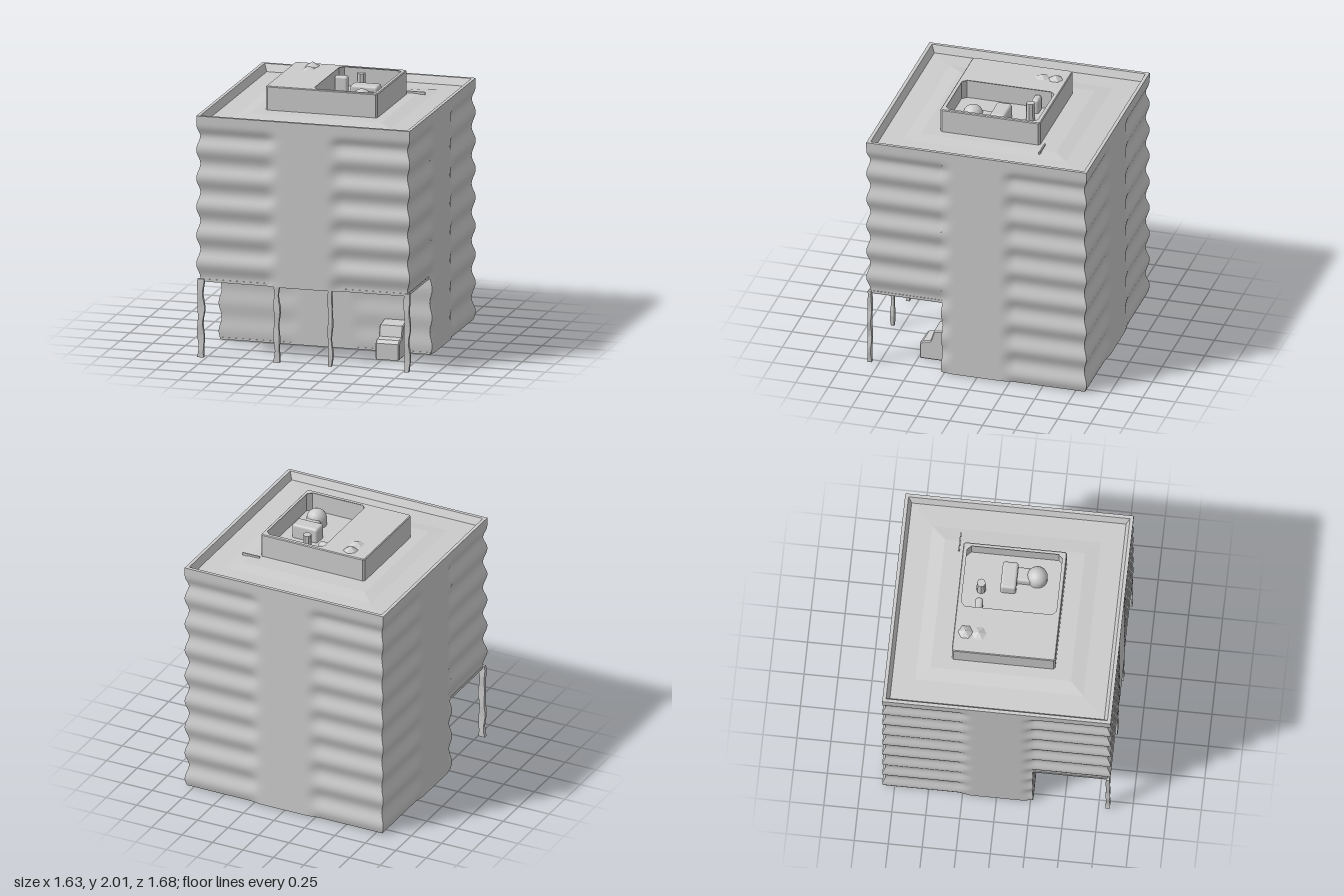
import * as THREE from 'three';
import { RoundedBoxGeometry } from 'three/addons/geometries/RoundedBoxGeometry.js';

const W = 0.815, D = 0.84, TOP = 1.82, SOFFIT = 0.57, NOTCH = 0.27;
const smooth = new THREE.MeshStandardMaterial({ color: 0xcccccc, side: THREE.DoubleSide });
const flat = new THREE.MeshStandardMaterial({ color: 0xcccccc, side: THREE.DoubleSide, flatShading: true });
const step = THREE.MathUtils.smoothstep;

// Floor-by-floor ripple; the middle bay of each side stays flat
const ripple = (y) => -0.012 * (1 - Math.cos((2 * Math.PI * (y - 1.35)) / 0.215)) * (1 - step(y, 1.66, 1.78));
const bay = (u) => step(Math.abs(u), 0.18, 0.3);

export function createModel() {
  const group = new THREE.Group();
  const add = (name, geo, mat = flat, x = 0, y = 0, z = 0) => {
    const m = new THREE.Mesh(geo, mat);
    m.name = name;
    m.position.set(x, y, z);
    group.add(m);
    return m;
  };
  // Box given by its limits
  const box = (name, x0, x1, y0, y1, z0, z1, r = 0) => {
    const s = [x1 - x0, y1 - y0, z1 - z0];
    const geo = r ? new RoundedBoxGeometry(...s, 3, r) : new THREE.BoxGeometry(...s);
    return add(name, geo, r ? smooth : flat, (x0 + x1) / 2, (y0 + y1) / 2, (z0 + z1) / 2);
  };
  // Rippled wall running from plan point a to plan point b
  const wall = (name, [ax, az], [bx, bz], y0, y1) => {
    const geo = new THREE.PlaneGeometry(1, 1, 48, 90), p = geo.attributes.position;
    for (let i = 0; i < p.count; i++) {
      const u = p.getX(i) + 0.5, y = y0 + (y1 - y0) * (p.getY(i) + 0.5);
      const x = ax + (bx - ax) * u, z = az + (bz - az) * u, w = ripple(y);
      p.setXYZ(i, x * (1 + (w * bay(z)) / W), y, z * (1 + (w * bay(x)) / D));
    }
    geo.computeVertexNormals();
    add(name, geo, smooth);
  };

  // Outer walls, with the front of the ground floor cut away
  wall('frontWall', [-W, D], [W, D], SOFFIT, TOP);
  wall('backWall', [W, -D], [-W, -D], 0, TOP);
  wall('leftWallFront', [W, D], [W, NOTCH], SOFFIT, TOP);
  wall('leftWallRear', [W, NOTCH], [W, -D], 0, TOP);
  wall('rightWallRear', [-W, -D], [-W, NOTCH], 0, TOP);
  wall('rightWallFront', [-W, NOTCH], [-W, D], SOFFIT, TOP);
  wall('groundFloorWall', [-W, NOTCH], [W, NOTCH], 0, SOFFIT);
  box('soffit', -0.795, 0.795, SOFFIT, SOFFIT + 0.02, NOTCH - 0.02, 0.82);
  box('base', -0.8, 0.8, 0, 0.015, -0.82, NOTCH);

  // Parapet and roof: a four-sided lathe stretched to the plan
  const profile = [[0.815, 1.78], [0.815, 1.82], [0.79, 1.82], [0.765, 1.765], [0.6, 1.77], [0.5, 1.785], [0, 1.79]]
    .map(([r, y]) => new THREE.Vector2(r * Math.SQRT2, y));
  add('parapetAndRoof', new THREE.LatheGeometry(profile, 4, Math.PI / 4)).scale.z = D / W;

  // Slender, slightly uneven columns under the overhang
  for (const [x, w] of [[-0.785, 0.045], [-0.205, 0.04], [0.203, 0.03], [0.79, 0.04]]) {
    const geo = new THREE.BoxGeometry(w, SOFFIT + 0.02, 0.028, 1, 14, 1), p = geo.attributes.position;
    for (let i = 0; i < p.count; i++) {
      const y = p.getY(i);
      p.setX(i, p.getX(i) * (1 + 0.2 * Math.sin(y * 31 + x * 9)) + 0.004 * Math.sin(y * 23));
      p.setZ(i, p.getZ(i) * (1 + 0.2 * Math.sin(y * 27 + x * 5)));
    }
    add('column', geo, flat, x, (SOFFIT + 0.02) / 2, 0.818);
  }

  // Stepped entrance block against the ground floor wall
  const side = new THREE.Shape([[0.25, 0], [0.48, 0], [0.48, 0.11], [0.46, 0.13], [0.4, 0.14], [0.375, 0.22], [0.25, 0.24]]
    .map(([z, y]) => new THREE.Vector2(-z, y)));
  const entrance = new THREE.ExtrudeGeometry(side, { depth: 0.165, bevelSize: 0.008, bevelThickness: 0.008, bevelSegments: 1 });
  add('entranceBlock', entrance.rotateY(Math.PI / 2), flat, 0.455, 0, 0);

  // Penthouse with an open plant well in its top
  const rect = (C, x0, x1, z0, z1, c) => new C([
    [x0 + c, z0], [x1 - c, z0], [x1, z0 + c], [x1, z1 - c], [x1 - c, z1], [x0 + c, z1], [x0, z1 - c], [x0, z0 + c],
  ].map(([x, z]) => new THREE.Vector2(x, -z)));
  const plan = rect(THREE.Shape, -0.415, 0.425, -0.365, 0.385, 0.01);
  plan.holes.push(rect(THREE.Path, -0.065, 0.405, -0.34, 0.36, 0.03));
  const house = new THREE.ExtrudeGeometry(plan, { depth: 0.2, bevelSize: 0.006, bevelThickness: 0.006, bevelSegments: 1 });
  add('penthouse', house.rotateX(-Math.PI / 2), flat, 0, 1.76, 0);
  box('wellFloor', -0.075, 0.415, 1.78, 1.82, -0.355, 0.375);
  box('rearFlashing', 0.42, 0.56, 1.78, 1.8, -0.41, -0.4);

  // Plant equipment in the well
  box('plantBox', 0.12, 0.33, 1.8, 1.93, -0.07, 0.045, 0.02);
  box('plantDuct', 0.2, 0.31, 1.8, 1.89, 0.02, 0.16, 0.02);
  add('plantTank', new THREE.CapsuleGeometry(0.075, 0.06, 6, 20), smooth, 0.255, 1.84, 0.19);
  box('wallPipe', -0.07, 0.03, 1.8, 1.93, -0.24, -0.185, 0.02);
  add('ventPost', new THREE.CylinderGeometry(0.032, 0.036, 0.15, 8), flat, 0.13, 1.885, -0.21);

  // Small roof vents on the closed half
  for (const [z, h] of [[-0.285, 0.034], [-0.185, 0.025]]) {
    add('roofVent', new THREE.ConeGeometry(0.055, h, 6), flat, -0.265, 1.966 + h / 2, z);
  }
  return group;
}
